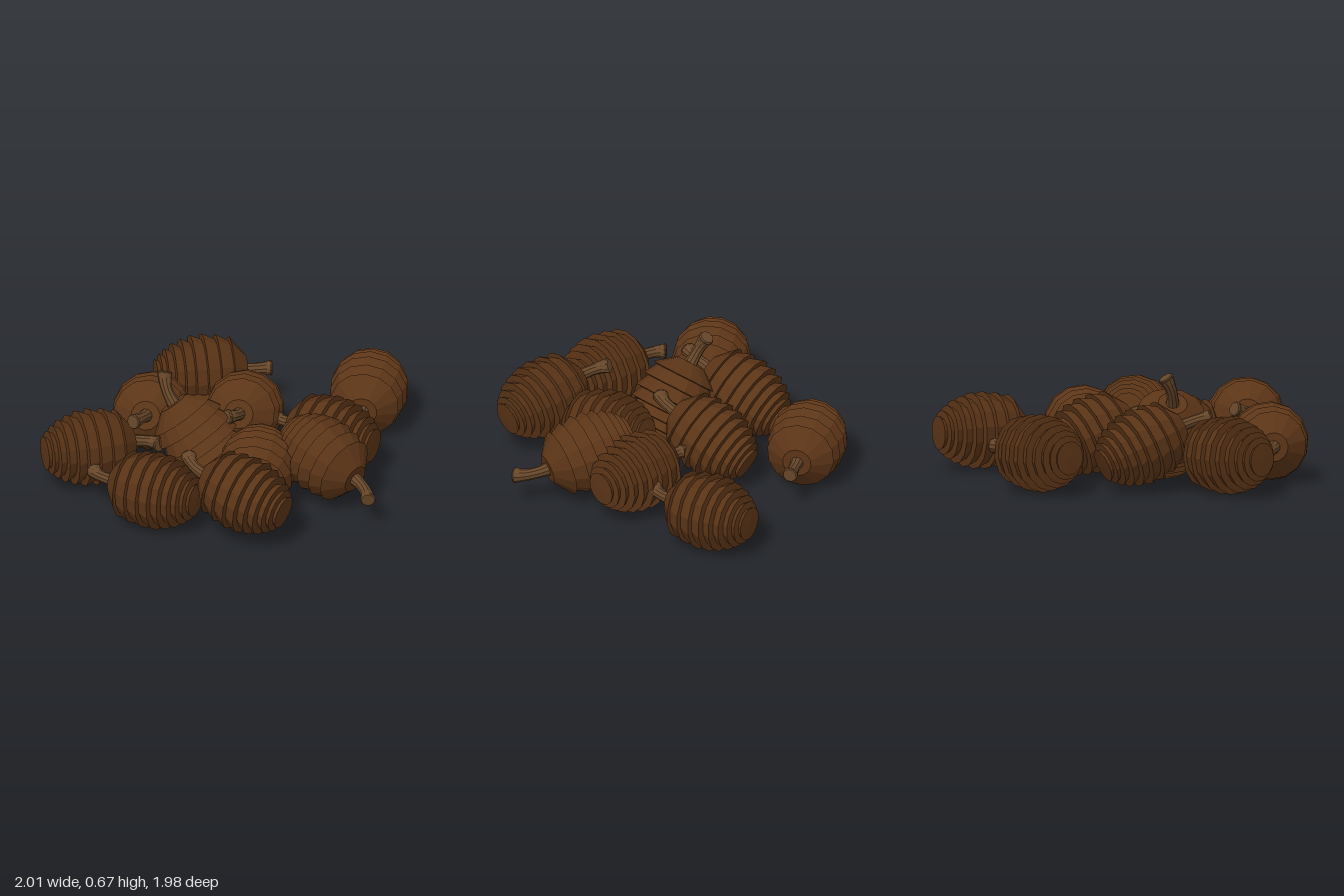
import * as THREE from 'three';

const V = (a) => new THREE.Vector3(...a);
const scaleMat = new THREE.MeshStandardMaterial({ color: 0x5c3517, flatShading: true });
const stemMat = new THREE.MeshStandardMaterial({ color: 0x664629, flatShading: true });

const LENGTH = 0.53;
const SIDES = 14;

// Sawtooth profile: every row of scales flares toward the tip, then steps back in
function coneProfile() {
  const rows = [ // [position along the cone, rim radius]
    [0.17, 0.2], [0.32, 0.218], [0.47, 0.228], [0.6, 0.224], [0.71, 0.208],
    [0.81, 0.186], [0.89, 0.158], [0.95, 0.13], [1, 0.1],
  ];
  const points = [new THREE.Vector2(0, 0), new THREE.Vector2(0.085, 0)];
  rows.forEach(([t, r], i) => {
    points.push(new THREE.Vector2(r, t * LENGTH));
    const next = rows[i + 1];
    if (next) points.push(new THREE.Vector2(Math.min(r, next[1]) * 0.87, t * LENGTH + 0.004));
  });
  points.push(new THREE.Vector2(0, LENGTH + 0.004));
  return points;
}

// Bent stem, slightly thicker at both ends, closed with a flat cut
function makeStem(base, axis, end) {
  const stem = new THREE.Group();
  stem.name = 'stem';
  const bend = base.clone().addScaledVector(axis, -0.1);
  const path = new THREE.QuadraticBezierCurve3(base.clone().addScaledVector(axis, 0.03), bend, end);
  const segments = 6;
  const sides = 10;
  const geometry = new THREE.TubeGeometry(path, segments, 0.036, sides);
  const pos = geometry.attributes.position;
  const p = new THREE.Vector3();
  for (let i = 0; i < pos.count; i++) {
    const t = Math.floor(i / (sides + 1)) / segments;
    const centre = path.getPointAt(t);
    p.fromBufferAttribute(pos, i).sub(centre).multiplyScalar(0.92 + 1.4 * (t - 0.5) ** 2).add(centre);
    pos.setXYZ(i, p.x, p.y, p.z);
  }
  const shaft = new THREE.Mesh(geometry, stemMat);
  shaft.name = 'stemShaft';
  const cut = new THREE.Mesh(new THREE.CylinderGeometry(0.04, 0.046, 0.012, sides), stemMat);
  cut.name = 'stemEnd';
  cut.position.copy(end);
  cut.quaternion.setFromUnitVectors(new THREE.Vector3(0, 1, 0), path.getTangentAt(1));
  stem.add(shaft, cut);
  return stem;
}

export function createModel() {
  const model = new THREE.Group();
  model.name = 'pineconePile';
  const bodyGeometry = new THREE.LatheGeometry(coneProfile(), SIDES);

  // Each cone: stem end of the body, tip of the body, free end of the stem
  const cones = [
    [[0.03, 0.23, -0.83], [-0.47, 0.23, -0.67], [0.17, 0.23, -0.87]],
    [[0.77, 0.23, -0.435], [0.77, 0.23, -0.965], [0.7, 0.23, -0.28]],
    [[-0.425, 0.37, 0.05], [-0.425, 0.17, -0.44], [-0.47, 0.42, 0.22]],
    [[0.105, 0.37, -0.05], [0.105, 0.17, -0.54], [0.06, 0.42, 0.08]],
    [[-0.26, 0.48, 0.07], [0.06, 0.08, 0.15], [-0.32, 0.64, 0]],
    [[0.27, 0.2, 0.57], [0.27, 0.27, 0.04], [0.25, 0.16, 0.7]],
    [[0.39, 0.26, -0.19], [0.9, 0.24, -0.03], [0.3, 0.26, -0.24]],
    [[0.85, 0.23, 0.36], [0.43, 0.35, 0.08], [0.95, 0.19, 0.52]],
    [[0.02, 0.35, 0.66], [0.49, 0.25, 0.84], [-0.1, 0.4, 0.53]],
    [[-0.53, 0.23, 0.59], [-0.02, 0.23, 0.75], [-0.66, 0.23, 0.49]],
    [[-0.49, 0.23, 0.11], [-0.97, 0.23, 0.33], [-0.33, 0.23, 0.13]],
  ];

  for (const [from, to, stemEnd] of cones) {
    const cone = new THREE.Group();
    cone.name = 'pinecone';
    const base = V(from);
    const axis = V(to).sub(base).normalize();
    const body = new THREE.Mesh(bodyGeometry, scaleMat);
    body.name = 'scales';
    body.position.copy(base);
    body.quaternion.setFromUnitVectors(new THREE.Vector3(0, 1, 0), axis);
    cone.add(body, makeStem(base, axis, V(stemEnd)));
    model.add(cone);
  }
  return model;
}
